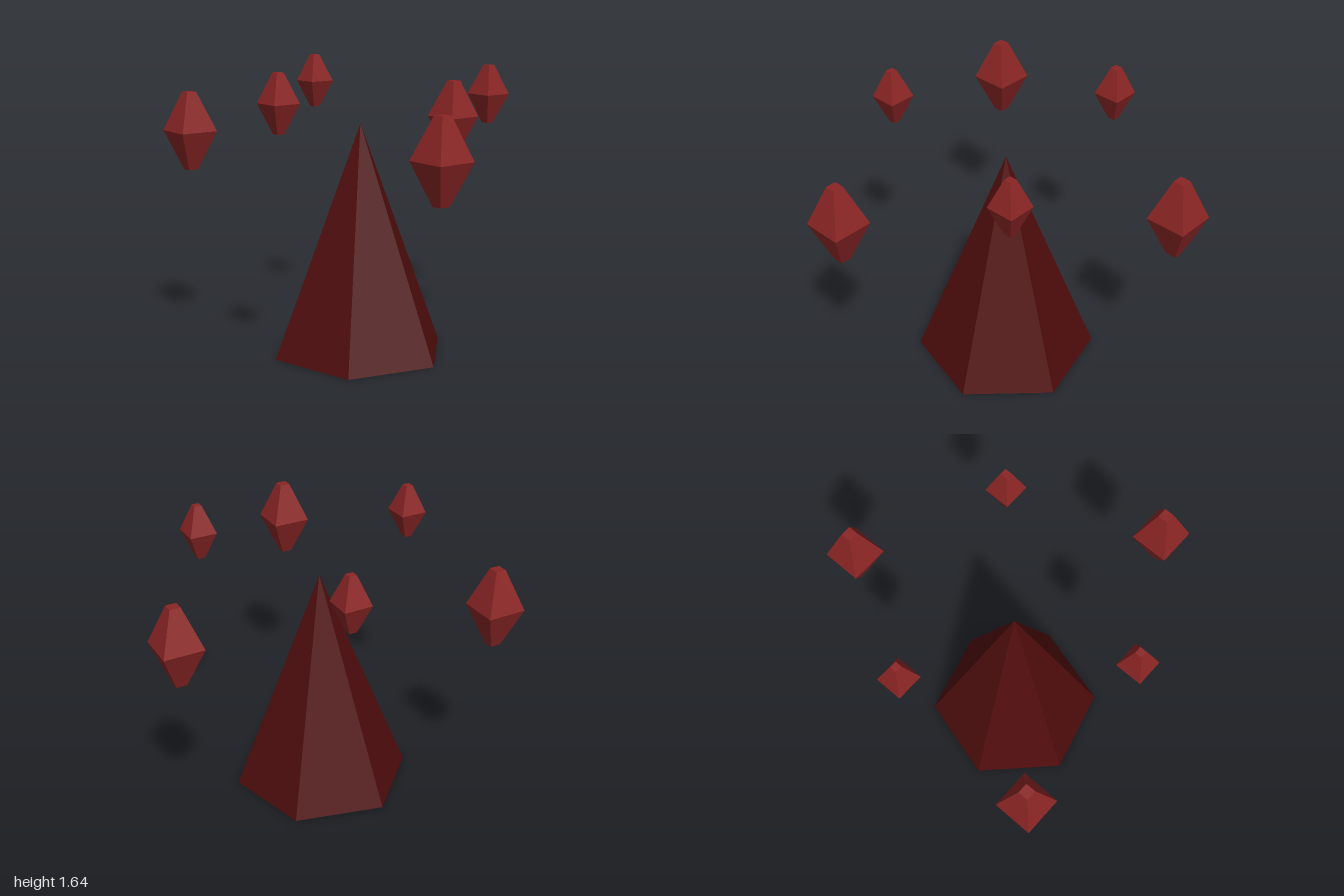
import * as THREE from 'three';

const CENTER_X = 0.16;

export function createModel() {
  const model = new THREE.Group();
  model.name = 'crystalSpire';

  const spireRed = new THREE.MeshStandardMaterial({ color: 0x500d0d });
  spireRed.name = 'darkRed';
  spireRed.flatShading = true;
  const crystalRed = new THREE.MeshStandardMaterial({ color: 0x8b2525 });
  crystalRed.name = 'crystalRed';
  crystalRed.flatShading = true;

  // Six-sided spire standing on the ground
  const spire = new THREE.Mesh(new THREE.ConeGeometry(0.51, 1.31, 6), spireRed);
  spire.name = 'spire';
  spire.position.set(CENTER_X, 0.655, 0);
  model.add(spire);

  // Four-sided crystal with blunt tips
  const crystalGeometry = (radius, tip, half) => new THREE.LatheGeometry([
    new THREE.Vector2(0, -half),
    new THREE.Vector2(tip, -half),
    new THREE.Vector2(radius, 0),
    new THREE.Vector2(tip, half),
    new THREE.Vector2(0, half),
  ], 4);

  // Ring of three crystals floating around the spire
  function addRing(name, geometry, distance, y, startAngle) {
    const ring = new THREE.Group();
    ring.name = name;
    ring.position.set(CENTER_X, y, 0);
    for (let i = 0; i < 3; i++) {
      const angle = startAngle + (i * Math.PI * 2) / 3;
      const crystal = new THREE.Mesh(geometry, crystalRed);
      crystal.name = 'crystal';
      crystal.position.set(Math.cos(angle) * distance, 0, Math.sin(angle) * distance);
      ring.add(crystal);
    }
    model.add(ring);
  }
  addRing('largeCrystals', crystalGeometry(0.156, 0.041, 0.221), 0.97, 1.25, Math.PI);
  addRing('smallCrystals', crystalGeometry(0.11, 0.029, 0.156), 0.695, 1.485, 0);

  return model;
}
